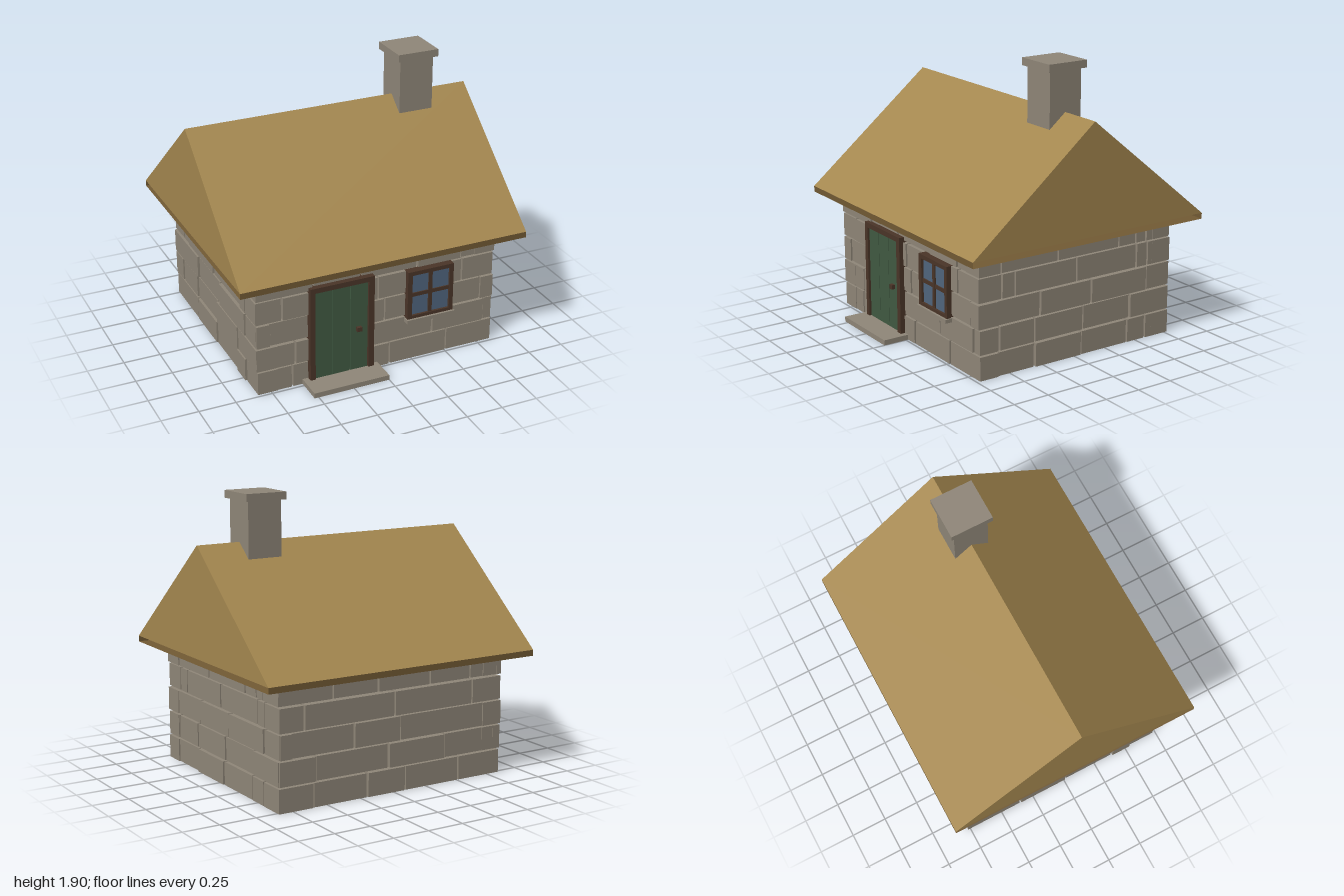
import * as THREE from 'three';

const mat = (name, color, side = THREE.FrontSide) => {
  const m = new THREE.MeshStandardMaterial({ color, side });
  m.name = name;
  return m;
};

// Flat polygons, each a loop of [x, y, z] corners, fanned into triangles
function polygons(loops) {
  const p = [];
  for (const l of loops)
    for (let i = 1; i < l.length - 1; i++) p.push(...l[0], ...l[i], ...l[i + 1]);
  const g = new THREE.BufferGeometry();
  g.setAttribute('position', new THREE.Float32BufferAttribute(p, 3));
  g.computeVertexNormals();
  return g;
}

export function createModel() {
  const model = new THREE.Group();
  model.name = 'cottage';
  const stone = mat('stone', 0x8f8678);
  const mortar = mat('mortar', 0x7d7568);
  const thatch = mat('thatch', 0xa4874f, THREE.DoubleSide);
  const eaveMat = mat('eave brown', 0x725a34, THREE.DoubleSide);
  const wood = mat('dark wood', 0x4a3528);
  const green = mat('door green', 0x405a42);
  const glass = mat('window glass', 0x50657e);
  const gableMat = mat('gable stone', 0x8f8678, THREE.DoubleSide);

  const add = (name, geo, material, parent = model) => {
    const m = new THREE.Mesh(geo, material);
    m.name = name;
    parent.add(m);
    return m;
  };
  // Box given by its two extreme corners
  const box = (name, material, x0, x1, y0, y1, z0, z1, parent = model) => {
    const m = add(name, new THREE.BoxGeometry(x1 - x0, y1 - y0, z1 - z0), material, parent);
    m.position.set((x0 + x1) / 2, (y0 + y1) / 2, (z0 + z1) / 2);
    return m;
  };
  let seed = 7;
  const rand = () => (seed = (seed * 16807) % 2147483647) / 2147483647;

  const CZ = -0.02; // centre of the house in z

  // Stone walls: five courses each, split at the listed joints
  const course = 0.169, gap = 0.012;
  const longJoints = [
    [-0.6, -0.2, 0.09, 0.51], [-0.58, -0.04, 0.4, 0.785], [-0.75, -0.3, 0.05, 0.75],
    [-0.67, 0, 0.61], [-0.455, -0.12, 0.28, 0.6, 0.81],
  ];
  const sideJoints = [
    [-0.33, 0.035, 0.41, 0.56], [-0.6, -0.33, 0.05, 0.43], [-0.29, 0.11, 0.565],
    [-0.58, -0.48, -0.005, 0.48, 0.57, 0.65], [-0.59, -0.155, 0.33, 0.47, 0.555],
  ];
  const wall = (name, angle, half, out, joints) => {
    const g = new THREE.Group();
    g.name = name;
    g.rotation.y = angle;
    g.position.z = CZ;
    joints.forEach((row, r) => {
      const cuts = [-half - rand() * 0.012, ...row, half + rand() * 0.012];
      for (let i = 0; i < cuts.length - 1; i++) {
        const a = cuts[i] + (i ? gap / 2 : 0);
        const b = cuts[i + 1] - (i < cuts.length - 2 ? gap / 2 : 0);
        box('stoneBlock', stone, a, b, r * course, (r + 1) * course - gap,
          out - 0.14, out + (rand() - 0.5) * 0.016, g);
      }
    });
    // Mortar backing behind the blocks
    box('mortarCore', mortar, -half + 0.06, half - 0.06, 0.005, 0.83, out - 0.12, out - 0.065, g);
    model.add(g);
  };
  wall('frontWall', 0, 0.84, 0.75, longJoints);
  wall('rightWall', Math.PI / 2, 0.742, 0.845, sideJoints);
  wall('backWall', Math.PI, 0.84, 0.75, longJoints);
  wall('leftWall', -Math.PI / 2, 0.742, 0.845, sideJoints);

  // Roof: two slopes and two gable ends, over a boxed eave with open ends
  const zf = CZ + 0.895, zb = CZ - 0.895, eave = 0.845, ridge = 1.58, low = 0.805;
  add('thatchRoof', polygons([
    [[-1, eave, zf], [1, eave, zf], [1, ridge, CZ], [-1, ridge, CZ]],
    [[1, eave, zb], [-1, eave, zb], [-1, ridge, CZ], [1, ridge, CZ]],
    [[1, eave, zf], [1, eave, zb], [1, ridge, CZ]],
    [[-1, eave, zb], [-1, eave, zf], [-1, ridge, CZ]],
  ]), thatch);
  add('eave', polygons([
    [[-1, low, zf], [1, low, zf], [1, eave, zf], [-1, eave, zf]],
    [[1, low, zb], [-1, low, zb], [-1, eave, zb], [1, eave, zb]],
    [[-1, low, zb], [1, low, zb], [1, low, zf], [-1, low, zf]],
  ]), eaveMat);
  // Stone gables under the roof
  for (const x of [-0.8, 0.8])
    add('innerGable', polygons([
      [[x, low, CZ + 0.76 * Math.sign(x)], [x, low, CZ - 0.76 * Math.sign(x)], [x, 1.42, CZ]],
    ]), gableMat);

  // Chimney
  box('chimneyStack', stone, 0.455, 0.695, 1.3, 1.85, -0.14, 0.1);
  box('chimneyCap', stone, 0.43, 0.72, 1.85, 1.9, -0.165, 0.125);

  // Door: frame, three planks, handle and step
  box('doorBacking', wood, -0.46, -0.075, 0.03, 0.67, 0.7, 0.742);
  for (let i = 0; i < 3; i++) {
    const x = -0.455 + i * 0.125;
    box('doorPlank', green, x + 0.002, x + 0.123, 0.035, 0.665, 0.72, 0.752);
  }
  box('doorPostRight', wood, -0.49, -0.455, 0.03, 0.7, 0.7, 0.766);
  box('doorPostLeft', wood, -0.08, -0.04, 0.03, 0.7, 0.7, 0.766);
  box('doorLintel', wood, -0.455, -0.08, 0.665, 0.7, 0.7, 0.766);
  box('doorHandle', wood, -0.163, -0.13, 0.32, 0.35, 0.74, 0.775);
  box('doorStep', stone, -0.53, 0, 0, 0.035, 0.72, 0.915);

  // Window: glass, frame, glazing bars and sill
  box('windowGlass', glass, 0.22, 0.515, 0.33, 0.65, 0.742, 0.75);
  for (const [x0, x1] of [[0.2, 0.233], [0.505, 0.533]])
    box('windowJamb', wood, x0, x1, 0.32, 0.665, 0.71, 0.766);
  for (const [y0, y1] of [[0.32, 0.342], [0.637, 0.665]])
    box('windowRail', wood, 0.233, 0.505, y0, y1, 0.71, 0.766);
  box('glazingBarUpright', wood, 0.355, 0.381, 0.342, 0.637, 0.73, 0.76);
  box('glazingBarCross', wood, 0.233, 0.505, 0.478, 0.504, 0.73, 0.758);
  box('windowSill', stone, 0.193, 0.542, 0.295, 0.32, 0.71, 0.782);

  return model;
}
